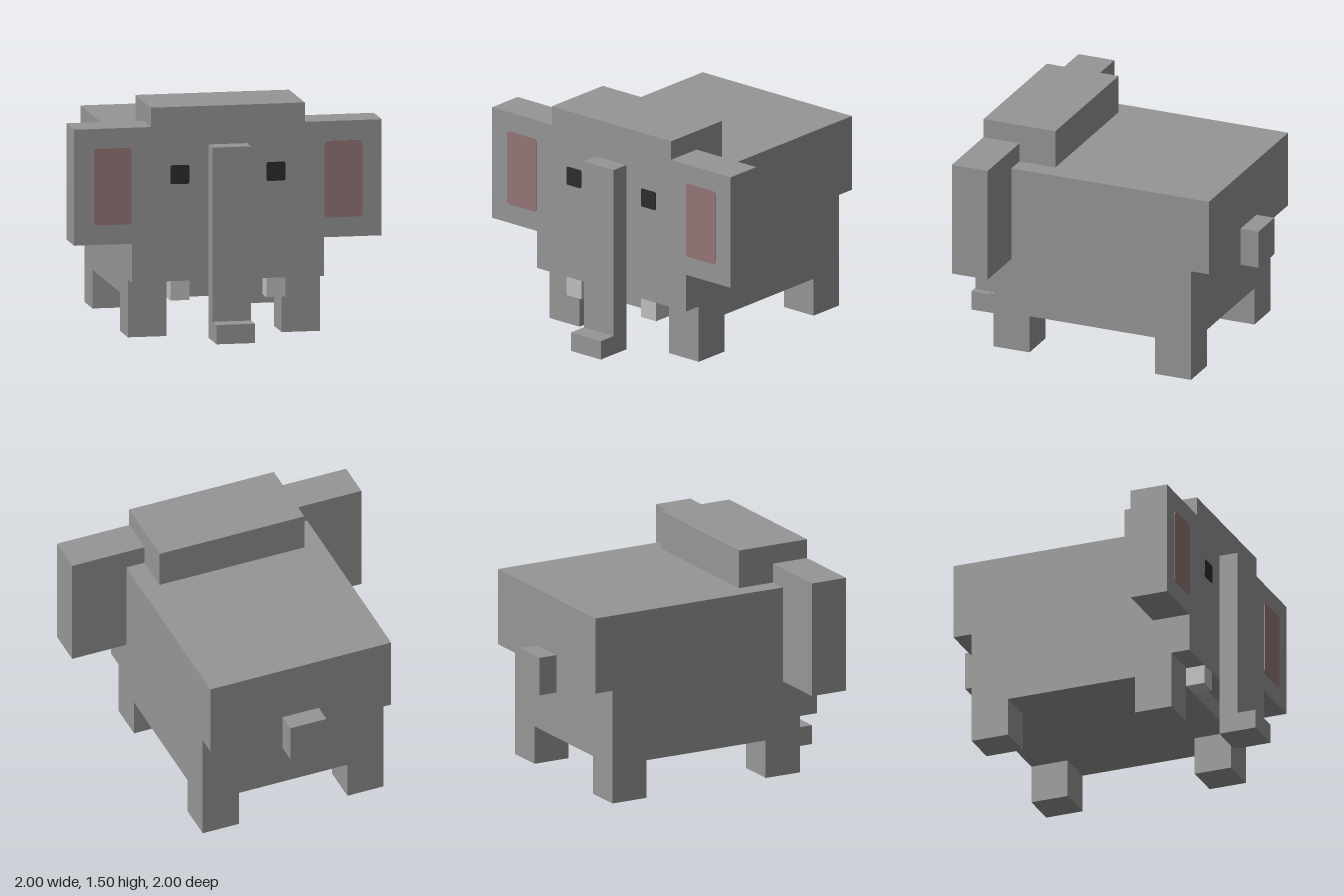
import * as THREE from 'three';

const skin = new THREE.MeshStandardMaterial({ name: 'grey skin', color: 0x969696 });
const ivory = new THREE.MeshStandardMaterial({ name: 'pale tusk', color: 0xc0c0c0 });
const pink = new THREE.MeshStandardMaterial({ name: 'inner ear pink', color: 0x957676 });
const black = new THREE.MeshStandardMaterial({ name: 'eye black', color: 0x2c2c2c });

// Box given by its lower and upper corners
function box(name, material, [x0, y0, z0], [x1, y1, z1]) {
  const mesh = new THREE.Mesh(new THREE.BoxGeometry(x1 - x0, y1 - y0, z1 - z0), material);
  mesh.position.set((x0 + x1) / 2, (y0 + y1) / 2, (z0 + z1) / 2);
  mesh.name = name;
  return mesh;
}

// Side outline given as [z, y] points, extruded across x and centred
function sideProfile(name, points, width) {
  const shape = new THREE.Shape(points.map(([z, y]) => new THREE.Vector2(-z, y)));
  const geometry = new THREE.ExtrudeGeometry(shape, { depth: width, bevelEnabled: false });
  geometry.translate(0, 0, -width / 2).rotateY(Math.PI / 2);
  const mesh = new THREE.Mesh(geometry, skin);
  mesh.name = name;
  return mesh;
}

// Thin plate with rounded corners lying on the front of the head
function plate(name, material, x, y, w, h, r) {
  const a = w / 2, b = h / 2;
  const s = new THREE.Shape();
  s.moveTo(-a + r, -b).lineTo(a - r, -b).quadraticCurveTo(a, -b, a, -b + r);
  s.lineTo(a, b - r).quadraticCurveTo(a, b, a - r, b);
  s.lineTo(-a + r, b).quadraticCurveTo(-a, b, -a, b - r);
  s.lineTo(-a, -b + r).quadraticCurveTo(-a, -b, -a + r, -b);
  const geometry = new THREE.ExtrudeGeometry(s, { depth: 0.004, bevelEnabled: false, curveSegments: 4 });
  const mesh = new THREE.Mesh(geometry, material);
  mesh.position.set(x, y, 0.75);
  mesh.name = name;
  return mesh;
}

export function createModel() {
  const model = new THREE.Group();
  model.name = 'elephant';

  // Body with overhanging rump and head front
  model.add(sideProfile('body', [
    [0.625, 0.25], [0.625, 0.375], [0.75, 0.375], [0.75, 1.25],
    [-0.875, 1.25], [-0.875, 0.75], [-0.75, 0.75], [-0.75, 0.25],
  ], 1.25));
  model.add(box('crown', skin, [-0.5, 1.25, 0.25], [0.5, 1.5, 0.75]));

  // Trunk with its tip turned forward
  model.add(sideProfile('trunk', [
    [0.75, 0], [1, 0], [1, 0.125], [0.875, 0.125], [0.875, 1.25], [0.75, 1.25],
  ], 0.25));

  model.add(box('tail', skin, [-0.125, 0.625, -1], [0.125, 0.875, -0.875]));

  // Mirrored parts
  for (const [side, s] of [['left', 1], ['right', -1]]) {
    const pair = (name, material, x0, x1, y0, y1, z0, z1) => model.add(box(
      `${side} ${name}`, material,
      [Math.min(s * x0, s * x1), y0, z0], [Math.max(s * x0, s * x1), y1, z1]));
    pair('front leg', skin, 0.375, 0.625, 0, 0.25, 0.375, 0.625);
    pair('back leg', skin, 0.375, 0.625, 0, 0.25, -0.75, -0.5);
    pair('ear', skin, 0.5, 1, 0.625, 1.375, 0.5, 0.75);
    pair('tusk', ivory, 0.25, 0.375, 0.25, 0.375, 0.625, 0.75);
    model.add(plate(`${side} inner ear`, pink, s * 0.75, 1, 0.245, 0.495, 0.025));
    model.add(plate(`${side} eye`, black, s * 0.3125, 1.0625, 0.122, 0.122, 0.012));
  }
  return model;
}
